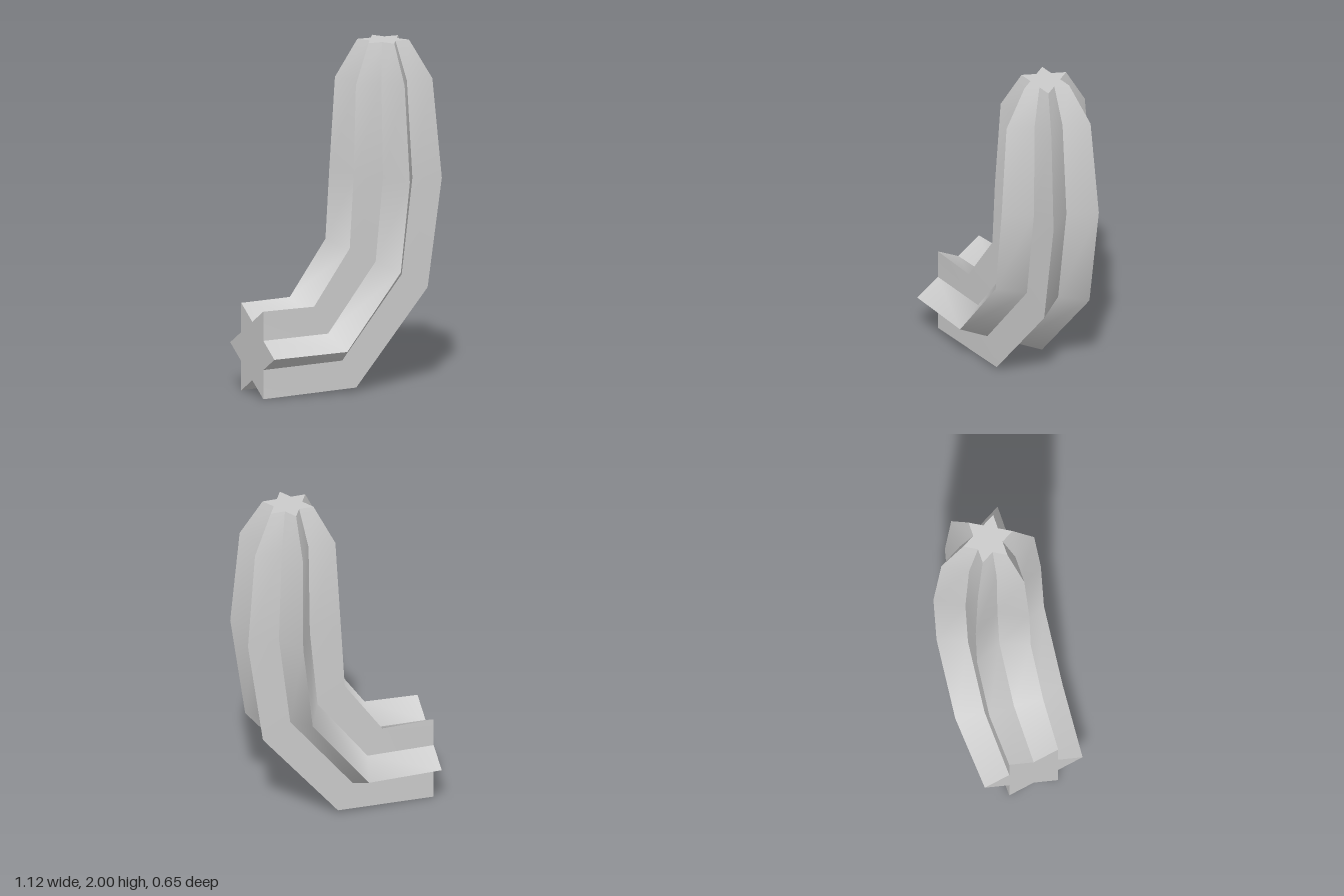
import * as THREE from 'three';
import { toCreasedNormals } from 'three/addons/utils/BufferGeometryUtils.js';

// Rings along the bent stem: centre x, centre y, radius, tilt of the ring in the xy plane
const RINGS = [
  [-0.56, 0.256, 0.294, -Math.PI / 2],
  [-0.113, 0.27, 0.323, -1.075],
  [0.225, 0.703, 0.323, -0.495],
  [0.282, 1.221, 0.323, -0.08],
  [0.27, 1.777, 0.279, 0],
  [0.267, 2, 0.148, 0],
];
const SIDES = 12; // six ridges and six valleys

function ribbedStemGeometry() {
  const positions = [];
  const index = [];

  // Six-pointed star cross-sections
  for (const [cx, cy, radius, tilt] of RINGS) {
    for (let k = 0; k < SIDES; k++) {
      const angle = (k * Math.PI * 2) / SIDES;
      const r = k % 2 ? radius : radius / Math.sqrt(3);
      const u = r * Math.cos(angle);
      positions.push(cx + u * Math.cos(tilt), cy + u * Math.sin(tilt), r * Math.sin(angle));
    }
  }

  // Walls between neighbouring rings
  for (let i = 0; i < RINGS.length - 1; i++) {
    for (let k = 0; k < SIDES; k++) {
      const a = i * SIDES + k;
      const b = i * SIDES + ((k + 1) % SIDES);
      index.push(a, a + SIDES, b, b, a + SIDES, b + SIDES);
    }
  }

  // Flat star caps at both ends
  const last = RINGS.length - 1;
  const base = positions.length / 3;
  for (const i of [0, last]) positions.push(RINGS[i][0], RINGS[i][1], 0);
  for (let k = 0; k < SIDES; k++) {
    const next = (k + 1) % SIDES;
    index.push(base, k, next);
    index.push(base + 1, last * SIDES + next, last * SIDES + k);
  }

  const geometry = new THREE.BufferGeometry();
  geometry.setAttribute('position', new THREE.Float32BufferAttribute(positions, 3));
  geometry.setIndex(index);
  // Smooth along the bend, sharp at ridges, valleys and caps
  return toCreasedNormals(geometry, 0.87);
}

export function createModel() {
  const model = new THREE.Group();
  model.name = 'cactusArm';
  const stem = new THREE.Mesh(
    ribbedStemGeometry(),
    new THREE.MeshStandardMaterial({ color: 0xcccccc })
  );
  stem.name = 'ribbedStem';
  model.add(stem);
  return model;
}
